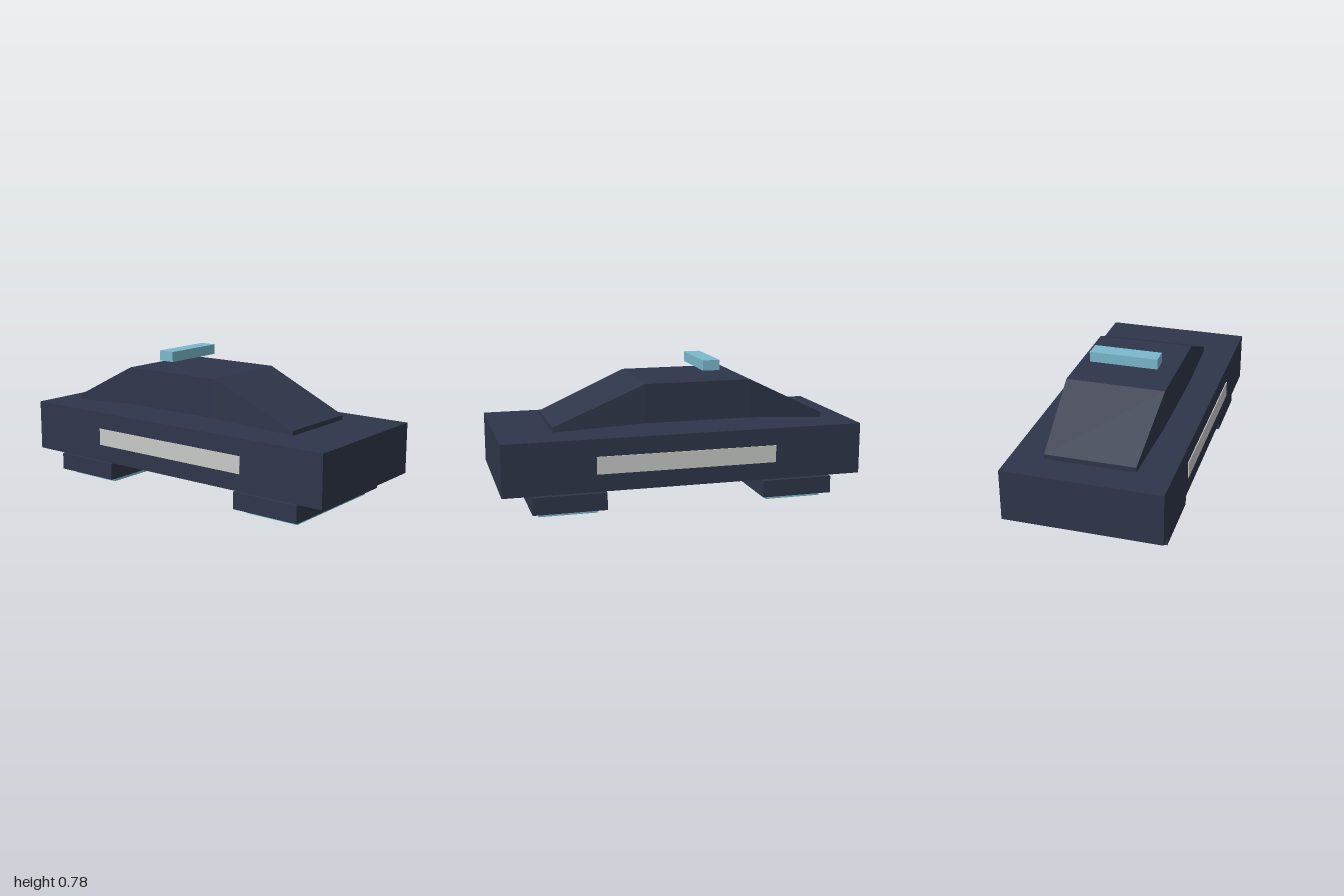
import * as THREE from 'three';

export function createModel() {
  const model = new THREE.Group();
  model.name = 'hoverCar';

  const mat = (name, color, flatShading = false) => {
    const m = new THREE.MeshStandardMaterial({ color });
    m.name = name;
    m.flatShading = flatShading;
    return m;
  };
  const navy = mat('navy paint', 0x2f364a, true);
  const teal = mat('teal glow', 0x7ab9cc);
  const silver = mat('silver trim', 0xc8cac8);

  const add = (name, geometry, material, x, y, z) => {
    const mesh = new THREE.Mesh(geometry, material);
    mesh.name = name;
    mesh.position.set(x, y, z);
    model.add(mesh);
    return mesh;
  };
  // Box given by its width, bottom, top, back and front
  const slab = (name, material, width, y0, y1, z0, z1, x = 0) =>
    add(name, new THREE.BoxGeometry(width, y1 - y0, z1 - z0), material, x, (y0 + y1) / 2, (z0 + z1) / 2);

  slab('body', navy, 0.854, 0.14, 0.425, -1, 1);

  // Hover pods with glowing pads, front and rear
  for (const [end, s] of [['front', 1], ['rear', -1]]) {
    const range = (a, b) => (s > 0 ? [a, b] : [-b, -a]);
    slab(end + 'HoverPod', navy, 0.812, 0.03, 0.125, ...range(0.44, 0.84));
    slab(end + 'GlowPad', teal, 0.682, 0, 0.025, ...range(0.48, 0.8));
  }

  // Thin trim plates on both flanks
  for (const [side, s] of [['left', 1], ['right', -1]]) {
    slab(side + 'SideTrim', silver, 0.005, 0.235, 0.33, -0.5, 0.5, s * 0.4295);
  }

  // Cabin: a box with four cross-sections, tapered to both ends
  const sections = [
    { z: -0.84, w: 0.242, y0: 0.432, y1: 0.46 },
    { z: -0.4, w: 0.272, y0: 0.46, y1: 0.675 },
    { z: 0.2, w: 0.272, y0: 0.46, y1: 0.675 },
    { z: 0.7, w: 0.242, y0: 0.432, y1: 0.458 },
  ];
  const box = new THREE.BoxGeometry(2, 2, 3, 1, 1, 3);
  const p = box.attributes.position;
  for (let i = 0; i < p.count; i++) {
    const s = sections[Math.round(p.getZ(i) + 1.5)];
    p.setXYZ(i, p.getX(i) * s.w, p.getY(i) > 0 ? s.y1 : s.y0, s.z);
  }
  const cabin = box.toNonIndexed();
  cabin.computeVertexNormals();
  add('cabin', cabin, navy, 0, 0, 0);

  slab('roofLight', teal, 0.378, 0.72, 0.777, -0.248, -0.153);

  return model;
}
